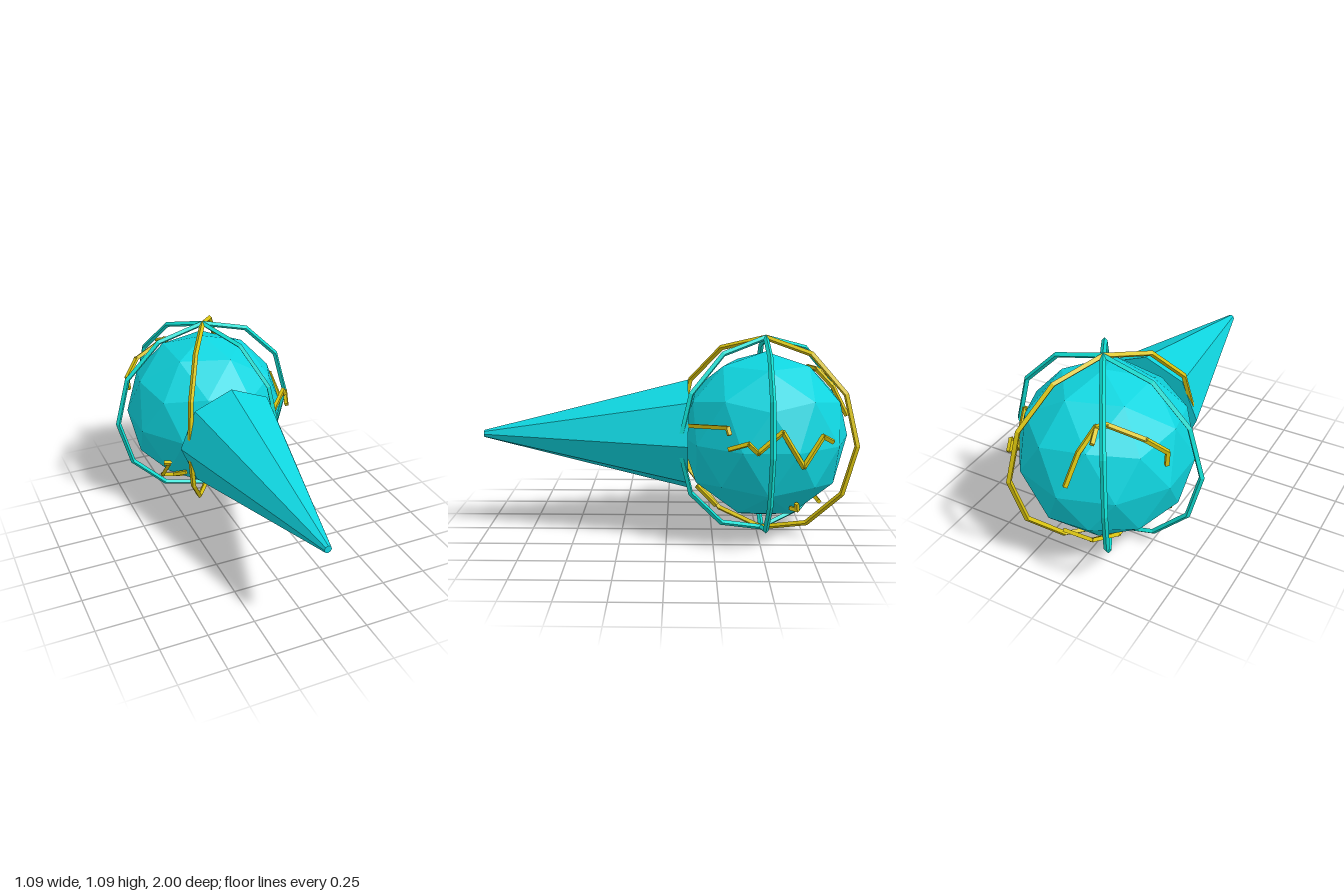
import * as THREE from 'three';

const CENTRE = new THREE.Vector3(0, 0.55, -0.527);

// Icosahedron with its vertices on the poles, divided once
function poleIcosphere(radius) {
  const v = [0, 1, 0], f = [];
  const h = 1 / Math.sqrt(5), r = 2 * h;
  for (let k = 0; k < 10; k++) {
    const a = k * Math.PI / 5;
    v.push(r * Math.cos(a), k % 2 ? -h : h, -r * Math.sin(a));
  }
  v.push(0, -1, 0);
  const ring = (k) => 1 + (k % 10);
  for (let k = 0; k < 10; k += 2) {
    f.push(0, ring(k), ring(k + 2));
    f.push(ring(k), ring(k + 1), ring(k + 2));
    f.push(ring(k + 1), ring(k + 3), ring(k + 2));
    f.push(11, ring(k + 3), ring(k + 1));
  }
  const geo = new THREE.PolyhedronGeometry(v, f, radius, 1);
  geo.computeVertexNormals();
  return geo;
}

// Chain of thin four-sided rods through the given points
function rodChain(name, points, material) {
  const group = new THREE.Group();
  group.name = name;
  const p = points.map((q) => new THREE.Vector3(...q));
  for (let i = 0; i + 1 < p.length; i++) {
    const dir = p[i + 1].clone().sub(p[i]);
    const len = dir.length();
    const rod = new THREE.Mesh(new THREE.CylinderGeometry(0.014, 0.014, len + 0.012, 4), material);
    rod.name = 'crackSegment';
    rod.position.copy(p[i]).addScaledVector(dir, 0.5);
    rod.quaternion.setFromUnitVectors(new THREE.Vector3(0, 1, 0), dir.normalize());
    group.add(rod);
  }
  return group;
}

export function createModel() {
  const model = new THREE.Group();
  model.name = 'cagedOrbWithSpike';

  const make = (name, color) => {
    const m = new THREE.MeshStandardMaterial({ color });
    m.name = name;
    m.flatShading = true;
    return m;
  };
  const body = make('cyan', 0x0fd5df);
  const band = make('turquoise', 0x0fdfd3);
  const gold = make('yellow', 0xdac40f);

  // Faceted orb
  const orb = new THREE.Mesh(poleIcosphere(0.455), body);
  orb.name = 'orb';
  orb.position.copy(CENTRE);
  model.add(orb);

  // Long eight-sided spike pointing forward
  const spike = new THREE.Mesh(new THREE.CylinderGeometry(0.02, 0.302, 1.115, 8), body);
  spike.name = 'spike';
  spike.rotation.x = Math.PI / 2;
  spike.position.set(0, 0.55, 0.4425);
  model.add(spike);

  // Three upright rings crossing at the poles
  [[0, band], [1, gold], [2, band]].forEach(([k, material]) => {
    const ring = new THREE.Mesh(new THREE.TorusGeometry(0.53, 0.015, 4, 12), material);
    ring.name = 'ring';
    ring.position.copy(CENTRE);
    ring.rotation.y = k * Math.PI / 3;
    model.add(ring);
  });

  // Jagged cracks lying on the orb
  const cracks = {
    sideCrack: [[0.44, 0.575, -0.32], [0.475, 0.61, -0.41], [0.46, 0.56, -0.46], [0.45, 0.665, -0.58],
      [0.44, 0.485, -0.69], [0.385, 0.63, -0.79], [0.365, 0.6, -0.84]],
    frontCrack: [[0.25, 0.652, -0.12], [0.41, 0.677, -0.31], [0.422, 0.648, -0.318]],
    lowerCrack: [[0.075, 0.196, -0.83], [-0.08, 0.19, -0.82], [-0.13, 0.115, -0.65], [-0.12, 0.105, -0.53],
      [-0.31, 0.21, -0.43], [-0.33, 0.405, -0.23], [-0.355, 0.405, -0.24]],
    lowerSpur: [[-0.3, 0.32, -0.24], [-0.25, 0.34, -0.2]],
    chinCrack: [[0.02, 0.26, -0.17], [0, 0.15, -0.27], [-0.015, 0.22, -0.2]],
    smallCrack: [[0.265, 0.215, -0.655], [0.285, 0.212, -0.685], [0.295, 0.245, -0.68]],
    backCrack: [[-0.06, 0.65, -0.985], [-0.09, 0.8, -0.91], [-0.13, 0.895, -0.82], [-0.17, 0.9, -0.785],
      [-0.34, 0.84, -0.73], [-0.42, 0.76, -0.67], [-0.415, 0.69, -0.67]],
    backSpur: [[-0.155, 0.86, -0.89], [-0.13, 0.895, -0.81]],
  };
  for (const [name, points] of Object.entries(cracks)) model.add(rodChain(name, points, gold));

  return model;
}
